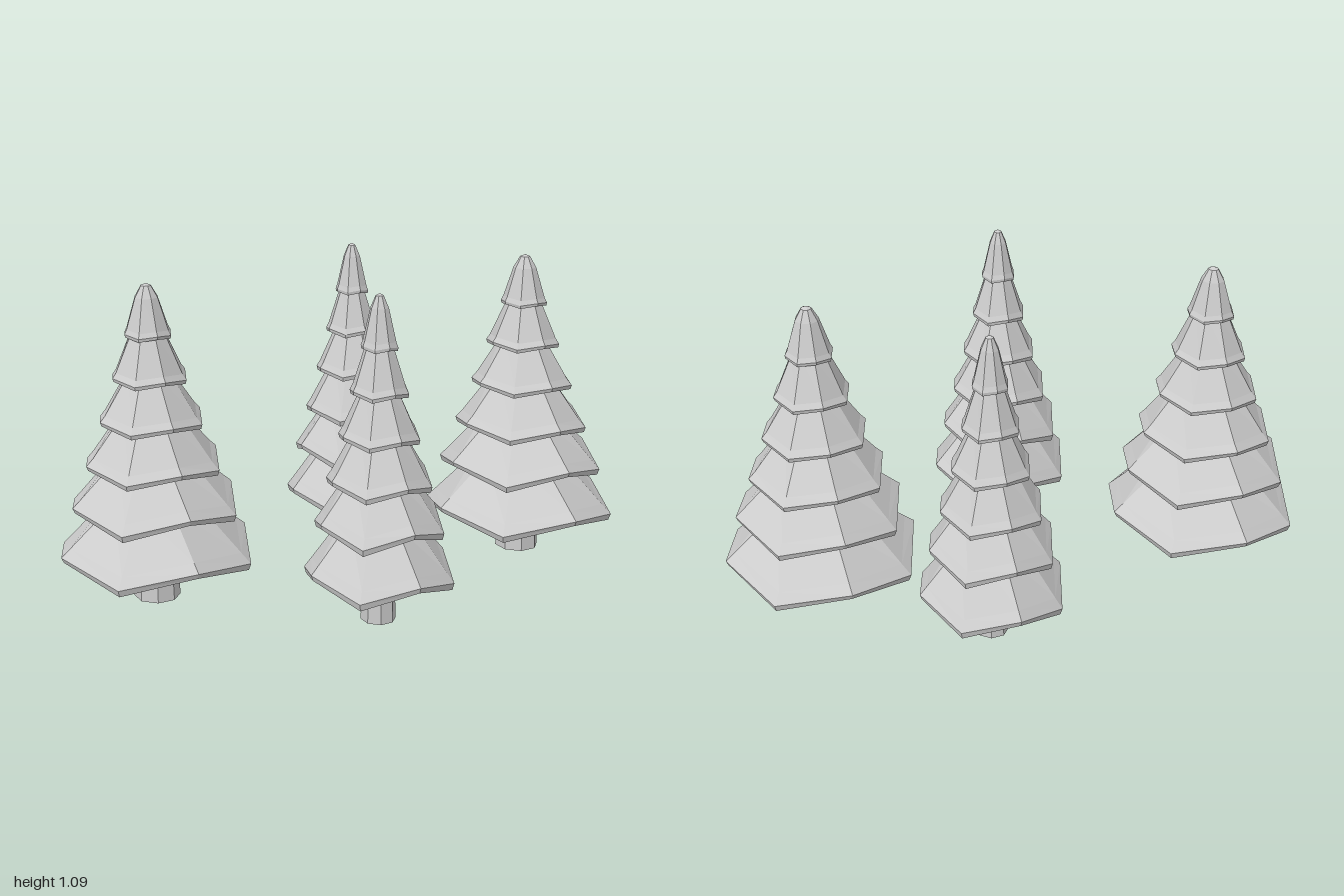
import * as THREE from 'three';

const material = new THREE.MeshStandardMaterial({ color: 0xcccccc, flatShading: true });

// rim radius, rim height, upper radius, upper height, corner droop
const TIERS = [
  [0.350, 0.180, 0.150, 0.355, 0.052],
  [0.300, 0.345, 0.125, 0.510, 0.050],
  [0.243, 0.482, 0.100, 0.655, 0.032],
  [0.186, 0.625, 0.078, 0.785, 0.020],
  [0.134, 0.768, 0.058, 0.925, 0.014],
  [0.084, 0.910, 0.041, 1.035, 0.008],
];

// One eight-sided skirt of branches; its diagonal corners hang lower
function tierGeometry([r, y, topR, topY, droop], index) {
  const lowest = index === 0;
  const profile = [
    [lowest ? 0.05 : r * 0.45, y + (lowest ? 0.09 : 0.035), 0],
    [r * 0.975, y, 1],
    [r, y + 0.018 * (0.4 + r / 0.58), 0.9],
    [r * 0.9, y + 0.045 * (0.4 + r / 0.58), 0.75],
    [topR, topY, 0],
  ];
  // rounded tip on the uppermost skirt
  if (index === TIERS.length - 1) profile.push([0.018, 1.073, 0], [0, 1.08, 0]);

  const geo = new THREE.LatheGeometry(profile.map(([a, b]) => new THREE.Vector2(a, b)), 8);
  const pos = geo.attributes.position;
  for (let i = 0; i < pos.count; i++) {
    const diagonal = Math.floor(i / profile.length) % 2;
    const weight = profile[i % profile.length][2];
    if (diagonal) pos.setY(i, pos.getY(i) - droop * weight);
  }
  geo.computeVertexNormals();
  return geo;
}

const tierGeometries = TIERS.map(tierGeometry);
const trunkGeometry = new THREE.CylinderGeometry(0.07, 0.081, 0.32, 8)
  .rotateY(Math.PI / 8)
  .translate(0, 0.16, 0);

function createTree(name, x, z, width, height) {
  const tree = new THREE.Group();
  tree.name = name;
  const trunk = new THREE.Mesh(trunkGeometry, material);
  trunk.name = 'trunk';
  tree.add(trunk);
  tierGeometries.forEach((geo, i) => {
    const tier = new THREE.Mesh(geo, material);
    tier.name = `branchTier${i + 1}`;
    tree.add(tier);
  });
  tree.position.set(x, 0, z);
  tree.scale.set(width * 0.952, height, width);
  return tree;
}

export function createModel() {
  const model = new THREE.Group();
  model.name = 'pineTrees';
  model.add(
    createTree('wideTreeRight', -0.667, -0.165, 1, 1),
    createTree('wideTreeLeft', 0.667, 0.053, 1, 1),
    createTree('slimTreeFront', -0.115, 0.376, 0.745, 1.01),
    createTree('slimTreeBack', 0.217, -0.379, 0.745, 1.01),
  );
  return model;
}
